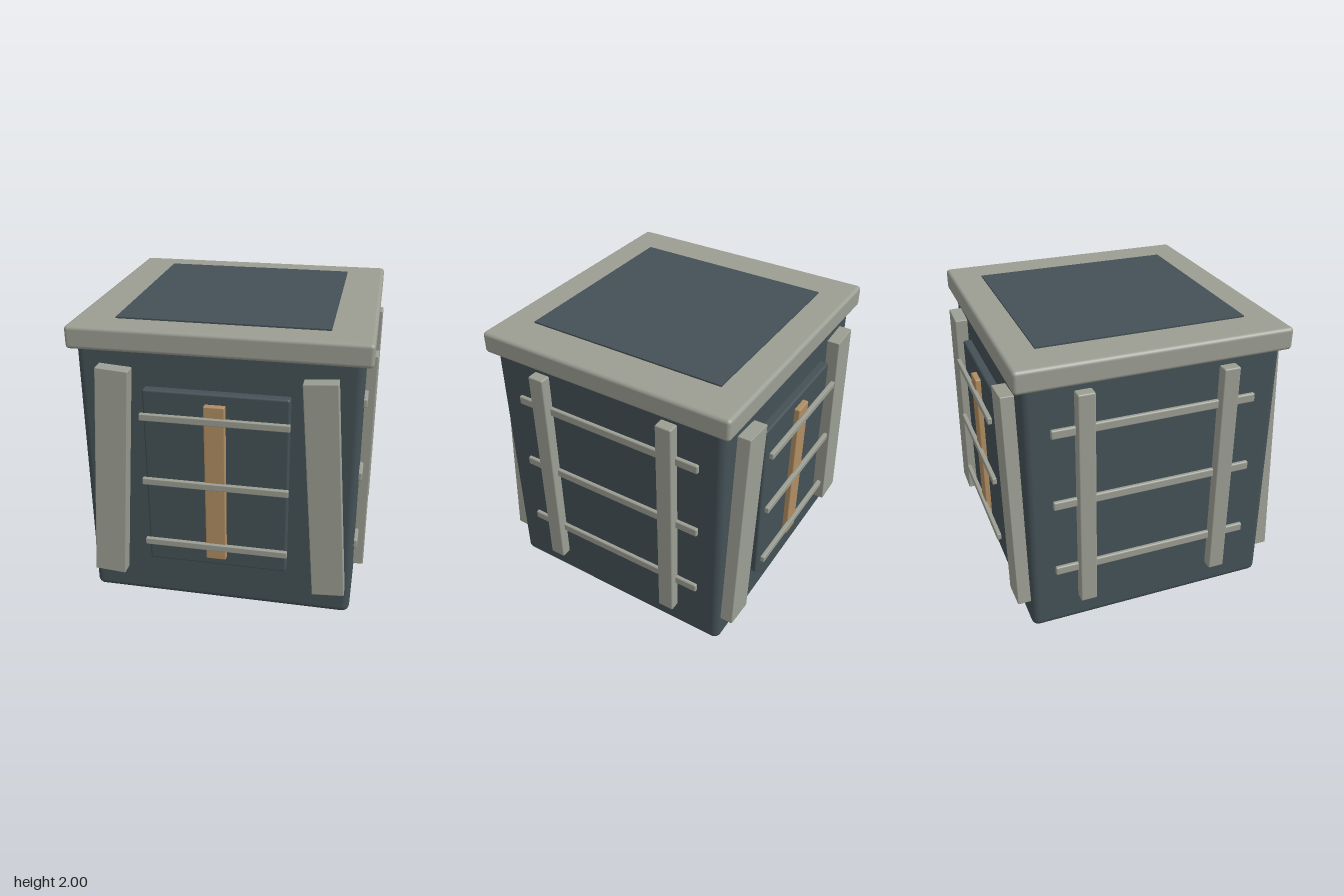
import * as THREE from 'three';
import { RoundedBoxGeometry } from 'three/addons/geometries/RoundedBoxGeometry.js';

function material(name, color) {
  const m = new THREE.MeshStandardMaterial({ color });
  m.name = name;
  return m;
}

export function createModel() {
  const slate = material('slate', 0x445156);
  const stone = material('pale grey', 0x9b9e93);
  const wood = material('tan', 0xb08d62);
  const model = new THREE.Group();
  model.name = 'crate';

  // Box with softened edges, given by size and centre
  function block(parent, name, mat, size, pos, radius = 0.01, segments = 2) {
    const mesh = new THREE.Mesh(new RoundedBoxGeometry(...size, segments, radius), mat);
    mesh.name = name;
    mesh.position.set(...pos);
    parent.add(mesh);
    return mesh;
  }
  // Flat-edged panel
  function plate(name, size, y) {
    const mesh = new THREE.Mesh(new THREE.BoxGeometry(...size), slate);
    mesh.name = name;
    mesh.position.y = y;
    model.add(mesh);
  }

  // Main body and overhanging lid
  block(model, 'body', slate, [1.8, 1.88, 1.72], [0, 0.965, 0], 0.05, 4);
  block(model, 'lid', stone, [1.9, 0.15, 1.82], [0, 1.915, 0], 0.025, 3);
  plate('topPanel', [1.36, 0.03, 1.4], 1.985);
  plate('bottomPanel', [1.36, 0.04, 1.4], 0.02);

  // Front and back faces: door, centre strip, three bars and two leaning braces
  for (const [name, turn] of [['frontFace', 0], ['backFace', Math.PI]]) {
    const face = new THREE.Group();
    face.name = name;
    face.rotation.y = turn;
    block(face, 'doorPanel', slate, [0.935, 1.255, 0.08], [0, 0.982, 0.877], 0.015);
    block(face, 'centreStrip', wood, [0.135, 1.115, 0.06], [0, 0.983, 0.925], 0.008);
    for (const y of [0.525, 0.985, 1.443]) {
      block(face, 'doorBar', stone, [0.955, 0.046, 0.03], [0, y, 0.96], 0.006);
    }
    for (const side of [-1, 1]) {
      const brace = block(face, 'leaningBrace', stone, [0.214, 1.515, 0.1], [side * 0.702, 0.983, 0.898], 0.006);
      brace.rotation.z = side * 0.073;
    }
    model.add(face);
  }

  // Left and right faces: upright posts over horizontal rails
  for (const side of [-1, 1]) {
    const face = new THREE.Group();
    face.name = side > 0 ? 'leftFace' : 'rightFace';
    for (const z of [-0.478, 0.482]) {
      block(face, 'post', stone, [0.09, 1.57, 0.114], [side * 0.925, 1.005, z], 0.01);
    }
    for (const y of [0.485, 1.005, 1.525]) {
      block(face, 'sideRail', stone, [0.06, 0.062, 1.38], [side * 0.893, y, 0], 0.01);
    }
    model.add(face);
  }
  return model;
}
